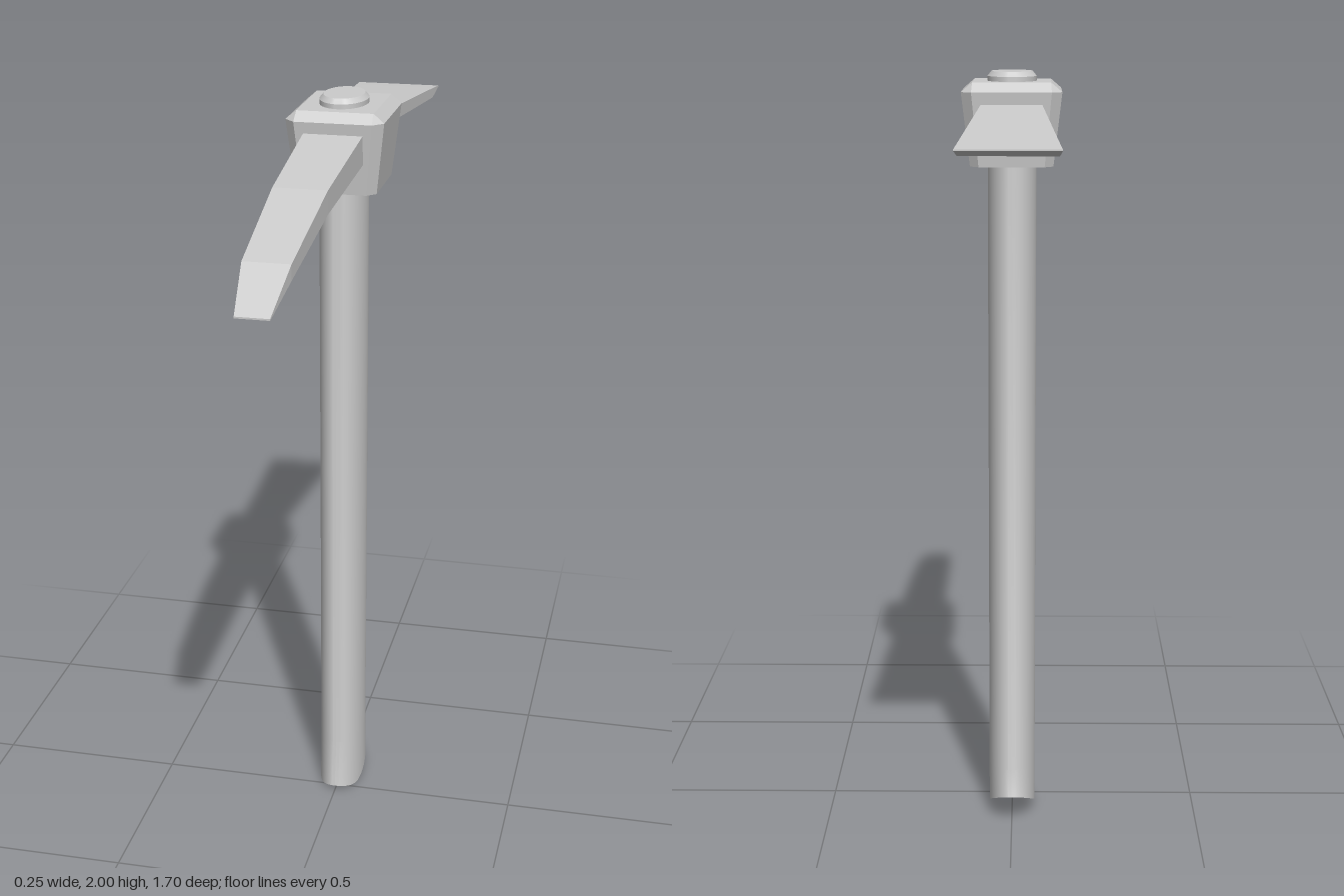
import * as THREE from 'three';
import { toCreasedNormals } from 'three/addons/utils/BufferGeometryUtils.js';

const AXIS_Z = -0.09; // centre line of the handle and collar

// Skin a list of equal-length rings and close both ends with fans.
function loft(rings, crease) {
  const pos = [];
  const tri = (...pts) => pts.forEach((p) => pos.push(...p));
  const n = rings[0].length;
  for (let i = 0; i < rings.length - 1; i++) {
    for (let j = 0; j < n; j++) {
      const k = (j + 1) % n;
      const a = rings[i][j], b = rings[i][k], c = rings[i + 1][k], d = rings[i + 1][j];
      tri(a, d, c);
      tri(a, c, b);
    }
  }
  const centre = (r) => [0, 1, 2].map((c) => r.reduce((s, p) => s + p[c], 0) / n);
  const first = rings[0], last = rings[rings.length - 1];
  const c0 = centre(first), c1 = centre(last);
  for (let j = 0; j < n; j++) {
    const k = (j + 1) % n;
    tri(c0, first[j], first[k]);
    tri(c1, last[k], last[j]);
  }
  const geo = new THREE.BufferGeometry();
  geo.setAttribute('position', new THREE.Float32BufferAttribute(pos, 3));
  geo.computeVertexNormals();
  return crease ? toCreasedNormals(geo, crease) : geo;
}

// Horizontal ellipse; y may be a number or a function of z.
function ellipse(rx, rz, y, n = 40) {
  return Array.from({ length: n }, (_, i) => {
    const a = (i / n) * Math.PI * 2;
    const z = AXIS_Z + rz * Math.sin(a);
    return [rx * Math.cos(a), typeof y === 'function' ? y(z) : y, z];
  });
}

// Horizontal rectangle with cut corners.
function octagon(hx, hz, cut, y) {
  const pts = [
    [hx, -hz + cut], [hx, hz - cut], [hx - cut, hz], [-hx + cut, hz],
    [-hx, hz - cut], [-hx, -hz + cut], [-hx + cut, -hz], [hx - cut, -hz],
  ];
  return pts.map(([x, z]) => [x, y, z + AXIS_Z]);
}

// Blade from stations [z, top, bottom, half width], ordered back to front.
function blade(stations) {
  return loft(stations.map(([z, top, bottom, w]) => [
    [w, top, z], [w, bottom, z], [-w, bottom, z], [-w, top, z],
  ]));
}

export function createModel() {
  const group = new THREE.Group();
  const smooth = new THREE.MeshStandardMaterial({ color: 0xcccccc });
  const flat = new THREE.MeshStandardMaterial({ color: 0xcccccc, flatShading: true });
  const add = (name, geo, mat) => {
    const mesh = new THREE.Mesh(geo, mat);
    mesh.name = name;
    group.add(mesh);
  };

  // Oval handle with a flared butt cut away at the back and a bevelled top
  const buttCut = (z) => {
    const d = -0.03 - z;
    return d > 0 ? 0.08 * (d / 0.18) ** 1.2 : 0.015 * (d / 0.06) ** 2;
  };
  add('handle', loft([
    ellipse(0.062, 0.12, buttCut),
    ellipse(0.062, 0.1, 0.15),
    ellipse(0.062, 0.1, 1.8),
    ellipse(0.062, 0.087, 1.95),
    ellipse(0.062, 0.087, 1.988),
    ellipse(0.052, 0.075, 2.0),
  ], 0.5), smooth);

  // Tapered collar with chamfered corners and top
  add('collar', loft([
    octagon(0.104, 0.122, 0.022, 1.77),
    octagon(0.125, 0.144, 0.026, 1.953),
    octagon(0.098, 0.118, 0.001, 1.976),
  ]), flat);

  // Curved pick pointing forward
  add('pickBlade', blade([
    [-0.05, 1.93, 1.845, 0.076],
    [0.05, 1.924, 1.85, 0.075],
    [0.4, 1.88, 1.823, 0.066],
    [0.72, 1.8, 1.763, 0.056],
    [0.85, 1.718, 1.714, 0.04],
  ]), flat);

  // Broad adze blade pointing backward, sharpened from below
  add('adzeBlade', blade([
    [-0.85, 1.866, 1.863, 0.117],
    [-0.78, 1.873, 1.846, 0.112],
    [-0.235, 1.923, 1.885, 0.076],
    [-0.13, 1.93, 1.892, 0.072],
  ]), flat);

  return group;
}
